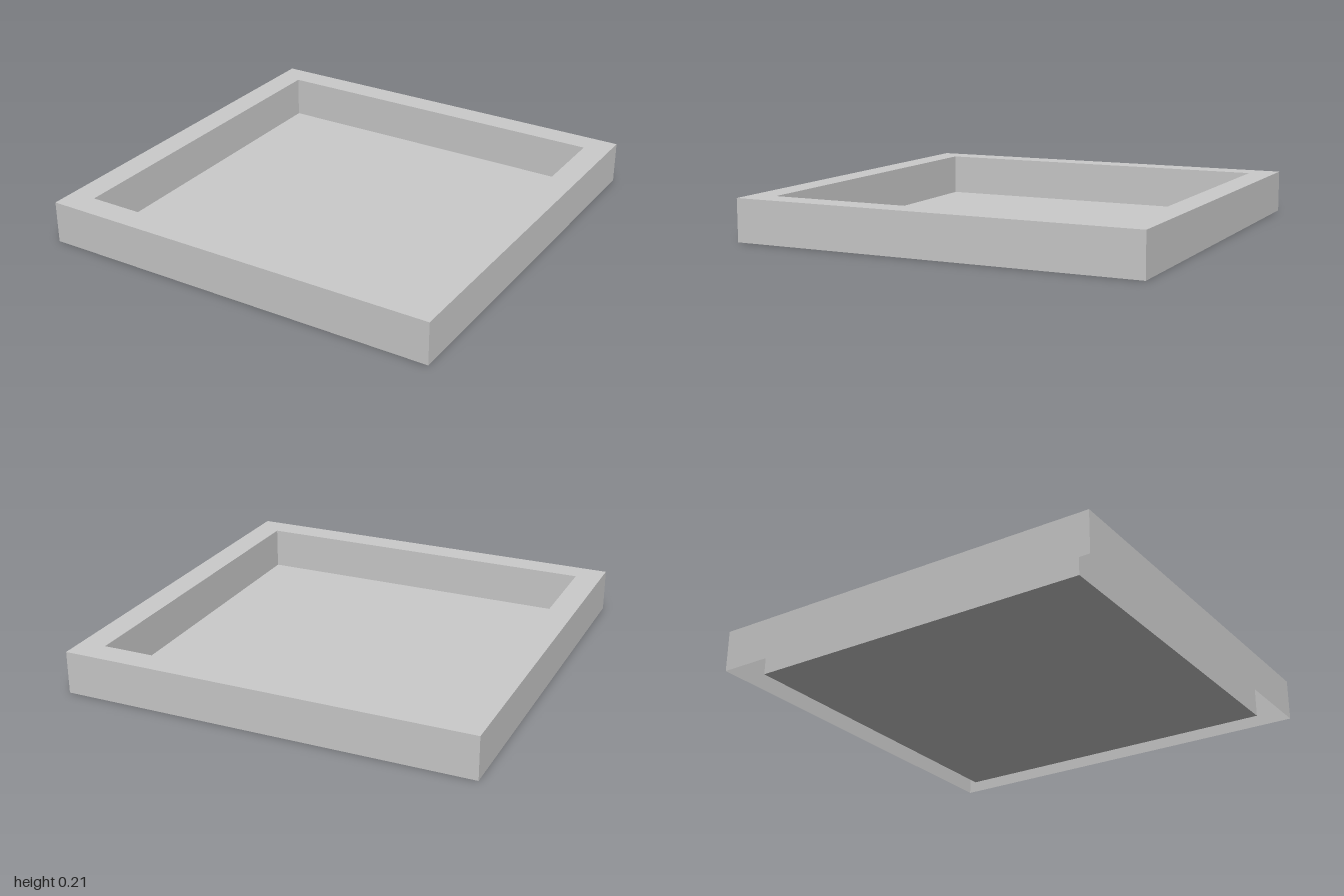
import * as THREE from 'three';

const HALF = 1;        // outer half width
const INNER = 0.873;   // half width of the recess
const HEIGHT = 0.207;

export function createModel() {
  const group = new THREE.Group();
  group.name = 'tray';
  const material = new THREE.MeshStandardMaterial({
    color: 0xcccccc, flatShading: true, side: THREE.DoubleSide,
  });

  // Folded rim, hollow underneath: outer wall, top ledge, inner wall.
  // Four-sided lathe, so corner radius = half width * sqrt(2).
  const profile = [[HALF, 0], [HALF, HEIGHT], [INNER, HEIGHT], [INNER, 0]]
    .map(([r, y]) => new THREE.Vector2(r * Math.SQRT2, y));
  const rim = new THREE.Mesh(new THREE.LatheGeometry(profile, 4, Math.PI / 4), material);
  rim.name = 'rim';
  group.add(rim);

  // Thin floor of the recess
  const floorGeometry = new THREE.PlaneGeometry(2 * INNER, 2 * INNER).rotateX(-Math.PI / 2);
  const floor = new THREE.Mesh(floorGeometry, material);
  floor.name = 'floor';
  group.add(floor);

  return group;
}
